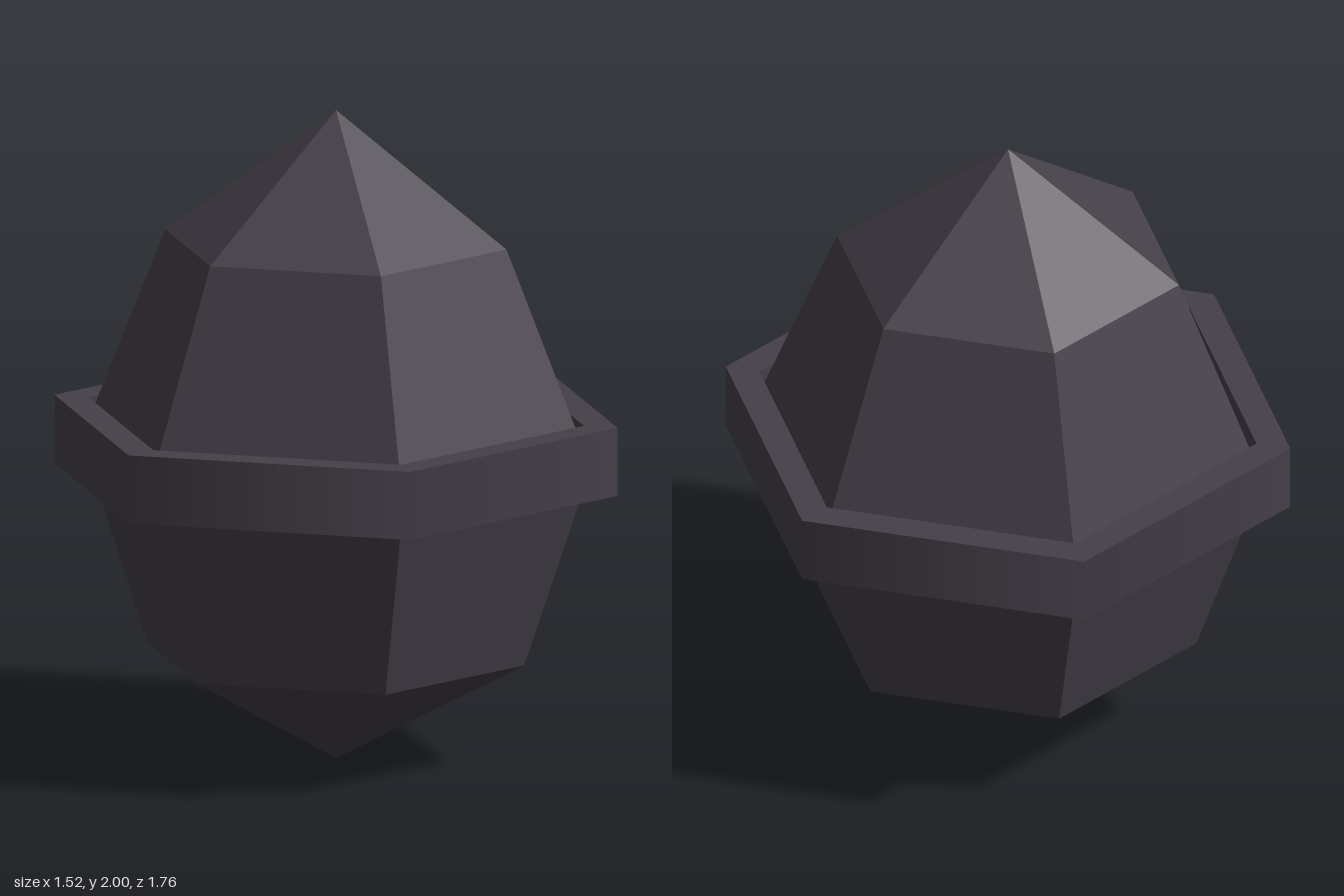
import * as THREE from 'three';

const SIDES = 6;

export function createModel() {
  const model = new THREE.Group();
  model.name = 'facetedCapsule';

  const shell = new THREE.MeshStandardMaterial({ color: 0x453f49, flatShading: true });
  shell.name = 'dark plum facets';
  const band = new THREE.MeshStandardMaterial({ color: 0x453f49 });
  band.name = 'dark plum band';

  const add = (parent, name, geometry, material, y) => {
    const mesh = new THREE.Mesh(geometry, material);
    mesh.name = name;
    mesh.position.y = y;
    parent.add(mesh);
    return mesh;
  };

  // Faceted body: stacked six-sided sections, [bottom y, bottom radius, top y, top radius]
  const body = new THREE.Group();
  body.name = 'body';
  const sections = [
    ['bottomTip', 0, 0, 0.32, 0.588],
    ['lowerBody', 0.32, 0.588, 0.965, 0.805],
    ['upperBody', 0.965, 0.787, 1.6, 0.533],
    ['topTip', 1.6, 0.533, 2, 0],
  ];
  for (const [name, y0, r0, y1, r1] of sections) {
    const geometry = new THREE.CylinderGeometry(r1, r0, y1 - y0, SIDES, 1, true);
    add(body, name, geometry, shell, (y0 + y1) / 2);
  }
  model.add(body);

  // Hexagonal belt: smooth outer and inner walls with flat rims
  const belt = new THREE.Group();
  belt.name = 'belt';
  const outer = 0.88, inner = 0.775, y0 = 0.86, y1 = 1.07, mid = (y0 + y1) / 2;
  add(belt, 'beltOuterWall', new THREE.CylinderGeometry(outer, outer, y1 - y0, SIDES, 1, true), band, mid);
  // Mirrored in x so that its faces point inwards
  const innerGeometry = new THREE.CylinderGeometry(inner, inner, y1 - y0, SIDES, 1, true);
  const index = innerGeometry.index.array;
  for (let i = 0; i < index.length; i += 3) [index[i], index[i + 1]] = [index[i + 1], index[i]];
  const normals = innerGeometry.attributes.normal.array;
  for (let i = 0; i < normals.length; i++) normals[i] *= -1;
  add(belt, 'beltInnerWall', innerGeometry, band, mid);
  for (const [name, y, turn] of [['beltTopRim', y1, -1], ['beltBottomRim', y0, 1]]) {
    const rim = new THREE.RingGeometry(inner, outer, SIDES, 1, Math.PI / 2);
    rim.rotateX(turn * Math.PI / 2);
    add(belt, name, rim, band, y);
  }
  model.add(belt);

  return model;
}
